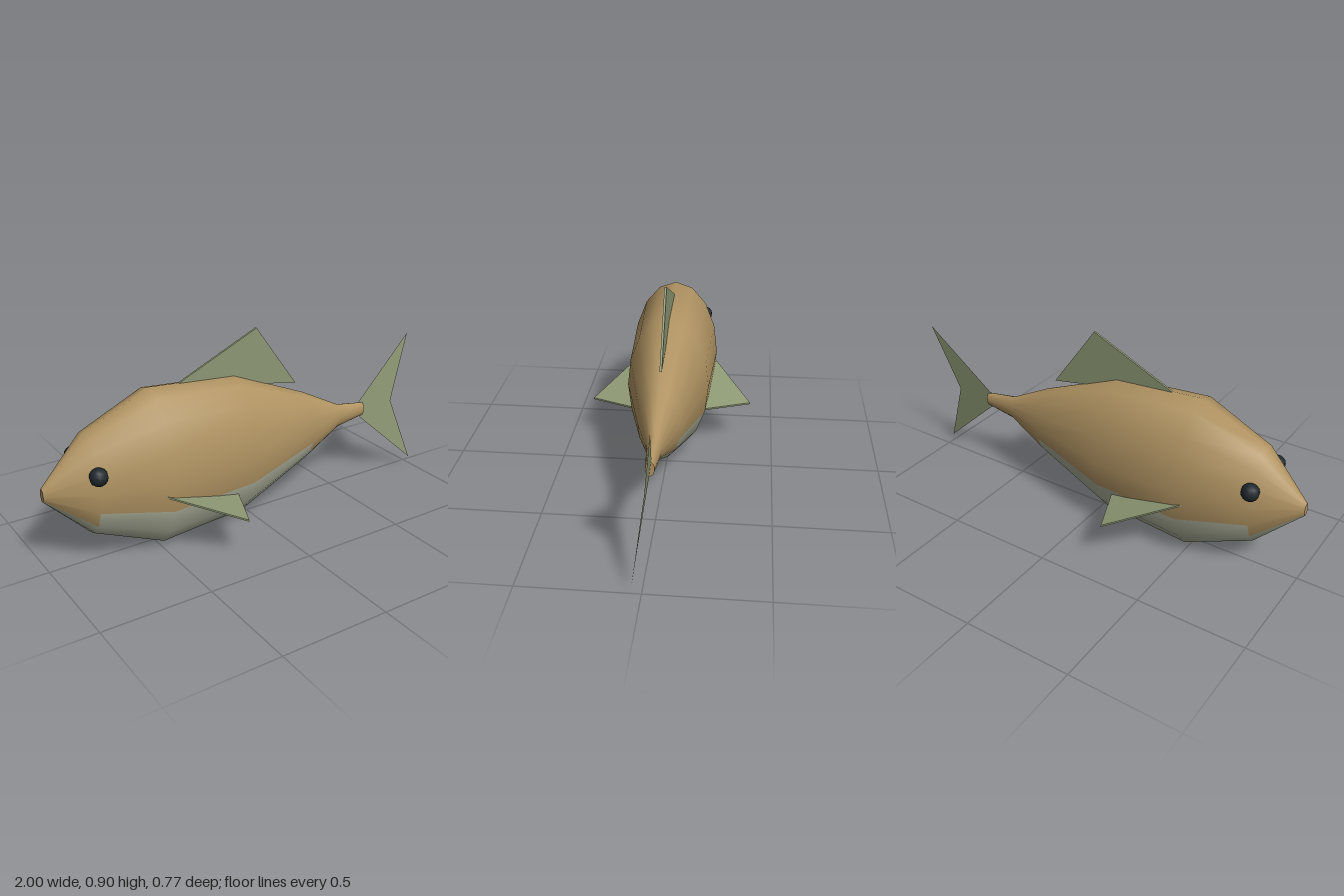
import * as THREE from 'three';

const material = (name, color, side = THREE.FrontSide) => {
  const m = new THREE.MeshStandardMaterial({ color, side });
  m.name = name;
  return m;
};

// Triangular slab: three corners thickened along a vector
function slab(corners, thickness) {
  let [a, b, c] = corners.map((p) => new THREE.Vector3(...p));
  const t = new THREE.Vector3(...thickness);
  const normal = b.clone().sub(a).cross(c.clone().sub(a));
  if (normal.dot(t) < 0) [b, c] = [c, b];
  const low = [a, b, c];
  const high = low.map((p) => p.clone().add(t));
  const tris = [...high, a, c, b];
  for (let i = 0; i < 3; i++) {
    const j = (i + 1) % 3;
    tris.push(low[i], low[j], high[j], low[i], high[j], high[i]);
  }
  const g = new THREE.BufferGeometry().setFromPoints(tris);
  g.computeVertexNormals();
  return g;
}

export function createModel() {
  const model = new THREE.Group();
  model.name = 'fish';
  const back = material('tan back', 0xb09362);
  const belly = material('pale belly', 0xacb09a);
  const finMat = material('green fin', 0x8c9773, THREE.DoubleSide);
  const eyeMat = material('dark eye', 0x20282c);

  const add = (name, geometry, mat) => {
    const mesh = new THREE.Mesh(geometry, mat);
    mesh.name = name;
    model.add(mesh);
    return mesh;
  };

  // Body: profile of [x, radius] turned about the long axis and flattened sideways
  const centreY = 0.372, flatten = 0.57, sides = 16;
  const profile = [[-1, 0.03], [-0.8, 0.233], [-0.49, 0.367], [-0.07, 0.333],
    [0.32, 0.168], [0.53, 0.058], [0.69, 0.033]];
  const body = new THREE.LatheGeometry(profile.map(([x, r]) => new THREE.Vector2(r, x)), sides);
  body.rotateZ(-Math.PI / 2).scale(1, 1, flatten).translate(0, centreY, 0);

  // Belly: number of degrees either side of the keel for each stretch of the body
  const bellySpread = [45, 67.5, 67.5, 67.5, 45, 0];
  for (let i = 0; i < sides; i++) {
    const angle = (i + 0.5) * 360 / sides - 90;
    const fromKeel = Math.min(Math.abs(angle), 360 - Math.abs(angle));
    bellySpread.forEach((spread, j) => {
      body.addGroup((i * bellySpread.length + j) * 6, 6, fromKeel < spread ? 1 : 0);
    });
  }
  add('body', body, [back, belly]);

  // Flat ends of the snout and the tail stem
  for (const [name, [x, r], turn] of [['snoutTip', profile[0], -1], ['tailStemEnd', profile[6], 1]]) {
    const cap = new THREE.CircleGeometry(r, sides).rotateY(turn * Math.PI / 2);
    add(name, cap.scale(1, 1, flatten).translate(x, centreY, 0), back);
  }

  // Dorsal fin
  add('dorsalFin', slab([[-0.37, 0.718, -0.005], [0.05, 0.905, -0.005], [0.27, 0.6, -0.005]],
    [0, 0, 0.01]), finMat);

  // Forked tail fin: a single sheet, slightly twisted about the long axis
  const fork = new THREE.Shape();
  fork.moveTo(0.63, 0);
  fork.lineTo(0.88, 0);
  fork.lineTo(1, 0.334);
  fork.closePath();
  const lower = new THREE.Shape([[0.63, 0], [1, -0.334], [0.88, 0]].map((p) => new THREE.Vector2(...p)));
  const tail = new THREE.ShapeGeometry([fork, lower]);
  add('tailFin', tail.rotateX(-0.115).translate(0, centreY, 0), finMat);

  // Paired fins and eyes
  for (const [label, s, lift] of [['left', 1, 0], ['right', -1, 0.01]]) {
    add(label + 'PectoralFin', slab([
      [-0.525, 0.305 + lift, s * 0.195],
      [-0.24, 0.197 + lift, s * 0.387],
      [-0.15, 0.198 + lift, s * 0.165],
    ], [0, 0.008, 0]), finMat);
    add(label + 'Eye', new THREE.SphereGeometry(0.04, 10, 8), eyeMat).position.set(-0.8, 0.455, s * 0.128);
  }

  return model;
}
